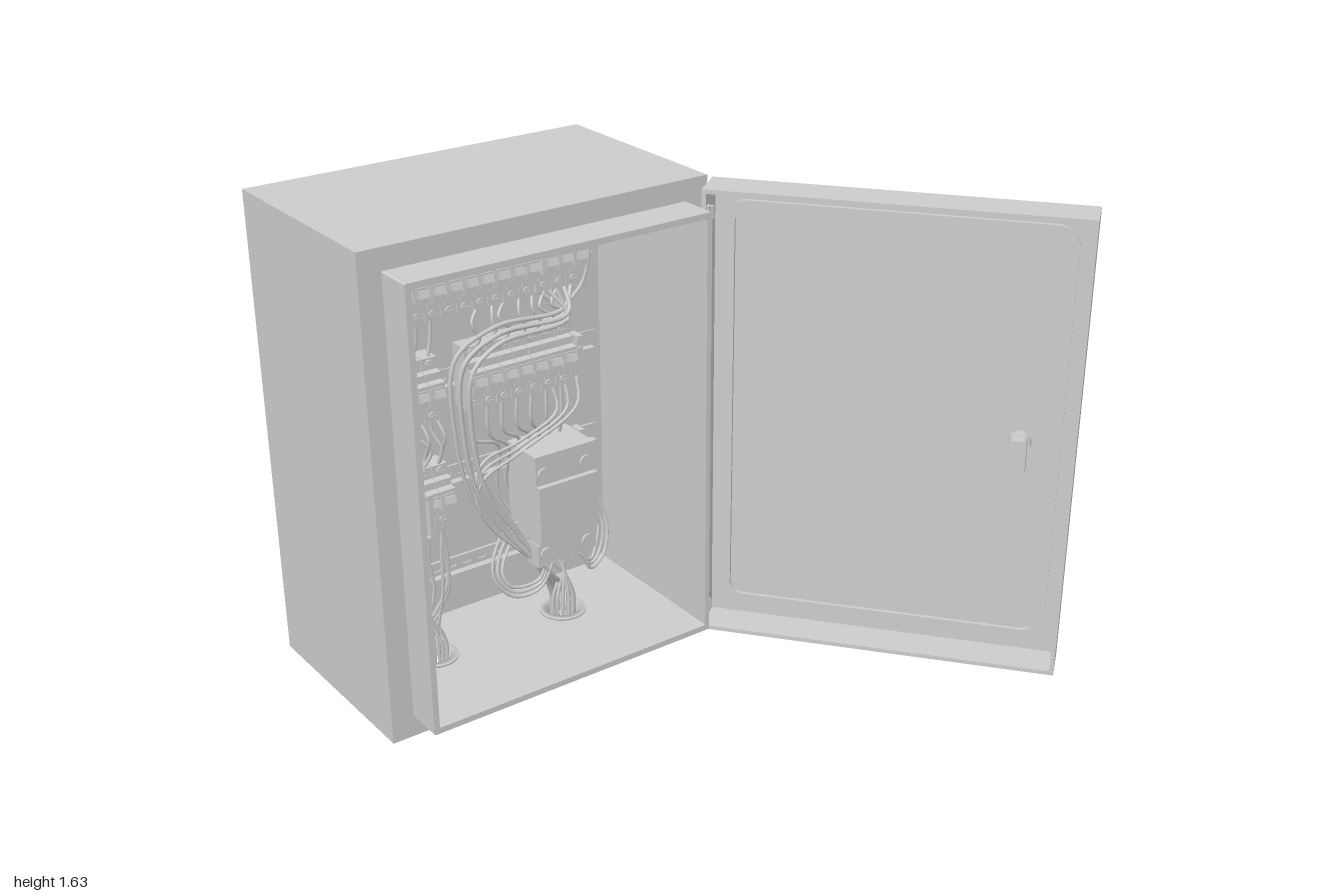
import * as THREE from 'three';

const metal = new THREE.MeshStandardMaterial({ color: 0xcccccc, side: THREE.DoubleSide });

function add(parent, name, geo, x = 0, y = 0, z = 0) {
  const m = new THREE.Mesh(geo, metal);
  m.name = name;
  m.position.set(x, y, z);
  parent.add(m);
  return m;
}

// Box given by its limits on each axis
function slab(parent, name, x0, x1, y0, y1, z0, z1) {
  return add(parent, name, new THREE.BoxGeometry(x1 - x0, y1 - y0, z1 - z0),
    (x0 + x1) / 2, (y0 + y1) / 2, (z0 + z1) / 2);
}

// Disc facing +z
function disc(parent, name, r, depth, x, y, z, sides = 16) {
  return add(parent, name, new THREE.CylinderGeometry(r, r, depth, sides).rotateX(Math.PI / 2), x, y, z);
}

function rounded(path, x0, x1, y0, y1, r) {
  path.moveTo(x0 + r, y0);
  path.lineTo(x1 - r, y0);
  path.absarc(x1 - r, y0 + r, r, -Math.PI / 2, 0);
  path.absarc(x1 - r, y1 - r, r, 0, Math.PI / 2);
  path.absarc(x0 + r, y1 - r, r, Math.PI / 2, Math.PI);
  path.absarc(x0 + r, y0 + r, r, Math.PI, Math.PI * 1.5);
  return path;
}

function extrude(shape, depth) {
  return new THREE.ExtrudeGeometry(shape, { depth, bevelEnabled: false, curveSegments: 8 });
}

// Rectangular ring: outer limits, inner limits, corner radii
function ring(o, i, ro, ri, depth) {
  const s = rounded(new THREE.Shape(), ...o, ro);
  s.holes.push(rounded(new THREE.Path(), ...i, ri));
  return extrude(s, depth);
}

const PLATE = -0.56, GLAND_Z = -0.48, GLANDS = [-0.65, -0.14];

function buildCabinet(root) {
  const g = new THREE.Group();
  g.name = 'cabinet';
  root.add(g);
  slab(g, 'leftWall', 0.195, 0.21, 0.04, 1.64, -0.85, -0.13);
  slab(g, 'rightWall', -1, -0.985, 0.04, 1.64, -0.85, -0.13);
  slab(g, 'roof', -1, 0.21, 1.625, 1.64, -0.85, -0.13);
  slab(g, 'backWall', -1, 0.21, 0.04, 1.64, -0.85, -0.835);
  // Floor with two cable holes
  const floor = new THREE.Shape([[-1, 0.13], [0.21, 0.13], [0.21, 0.85], [-1, 0.85]].map(p => new THREE.Vector2(...p)));
  for (const x of GLANDS) floor.holes.push(new THREE.Path().absarc(x, -GLAND_Z, 0.07, 0, Math.PI * 2));
  add(g, 'floor', extrude(floor, 0.015).rotateX(-Math.PI / 2), 0, 0.04, 0);
  for (const x of GLANDS) {
    const pts = [[0.058, 0.018], [0.07, 0.018], [0.08, 0.026], [0.08, 0.04], [0.07, 0.045], [0.08, 0.056], [0.08, 0.064], [0.058, 0.064], [0.058, 0.018]];
    add(g, 'cableGrommet', new THREE.LatheGeometry(pts.map(p => new THREE.Vector2(...p)), 24), x, 0, GLAND_Z);
  }
  // Front frame and projecting collar round the opening
  const hole = [-0.905, 0.112, 0.13, 1.55];
  add(g, 'frontFrame', ring([-1, 0.21, 0.04, 1.64], hole, 0.001, 0.005, 0.015), 0, 0, -0.145);
  add(g, 'openingCollar', ring([-0.925, 0.13, 0.11, 1.57], hole, 0.005, 0.005, 0.13), 0, 0, -0.13);
  add(g, 'mountingPlate', extrude(rounded(new THREE.Shape(), -0.88, 0.09, 0.15, 1.53, 0.06), 0.015), 0, 0, PLATE - 0.015);
  // Latch keeper on the collar
  for (const y of [0.755, 0.89]) slab(g, 'keeperArm', -0.905, -0.86, y - 0.007, y + 0.007, -0.065, -0.035);
  slab(g, 'keeperBar', -0.874, -0.86, 0.748, 0.897, -0.065, -0.035);
  // Hinges
  for (const y of [0.145, 1.535]) {
    slab(g, 'hingeLeaf', 0.12, 0.2, y - 0.02, y + 0.02, -0.092, -0.08);
    add(g, 'hingePin', new THREE.CylinderGeometry(0.012, 0.012, 0.06, 12), 0.175, y - 0.005, -0.086);
  }
}

function buildDoor(root) {
  // Local x runs from hinge to free edge, local z points to the inside
  const g = new THREE.Group();
  g.name = 'door';
  g.position.set(0.26, 0, -0.17);
  g.rotation.y = -0.899;
  root.add(g);
  slab(g, 'doorPanel', 0, 1.19, 0.065, 1.615, 0, 0.012);
  add(g, 'doorRim', ring([0, 1.19, 0.065, 1.615], [0.014, 1.176, 0.079, 1.601], 0.001, 0.001, 0.137));
  add(g, 'gasket', ring([0.05, 1.14, 0.125, 1.555], [0.08, 1.11, 0.155, 1.525], 0.07, 0.045, 0.014), 0, 0, 0.012);
  const dome = [[0, -0.024], [0.026, -0.022], [0.038, -0.014], [0.041, 0]];
  add(g, 'knob', new THREE.LatheGeometry(dome.map(p => new THREE.Vector2(...p)), 16).rotateX(Math.PI / 2), 1.01, 0.83, 0);
  disc(g, 'latchShaft', 0.038, 0.045, 1.01, 0.83, 0.03);
  add(g, 'latchCam', extrude(rounded(new THREE.Shape(), 0.982, 1.038, 0.73, 0.865, 0.02), 0.04), 0, 0, 0.05);
}

// Slotted hat rail with end clamps
function buildRail(root, y) {
  const g = new THREE.Group();
  g.name = 'mountingRail';
  g.position.set(0, y, PLATE);
  root.add(g);
  const web = rounded(new THREE.Shape(), -0.85, 0.05, -0.026, 0.026, 0.001);
  for (let x = -0.835; x < 0.01; x += 0.058) web.holes.push(rounded(new THREE.Path(), x, x + 0.036, -0.008, 0.008, 0.007));
  add(g, 'railWeb', extrude(web, 0.005));
  for (const s of [-1, 1]) {
    slab(g, 'railSide', -0.85, 0.05, s * 0.026 - 0.003, s * 0.026 + 0.003, 0, 0.03);
    slab(g, 'railFlange', -0.85, 0.05, s * 0.033 - 0.008, s * 0.033 + 0.008, 0.025, 0.03);
  }
  for (const x of [-0.765, -0.025]) {
    slab(g, 'endClamp', x - 0.011, x + 0.011, -0.042, 0.042, 0.005, 0.055);
    disc(g, 'clampScrew', 0.008, 0.006, x, 0, 0.057, 10);
  }
}

// Row of breaker poles; profile points are (depth, height)
function buildBreaker(root, x0, x1, poles, y) {
  const g = new THREE.Group();
  g.name = 'breaker';
  g.position.set(0, y, PLATE + 0.025);
  root.add(g);
  const half = [[0, 0.108], [0.07, 0.108], [0.07, 0.068], [0.092, 0.064], [0.092, 0.04], [0.115, 0.036]];
  const pts = [...half, ...half.map(([d, h]) => [d, -h]).reverse()].map(p => new THREE.Vector2(...p));
  const pitch = (x1 - x0) / poles, w = pitch - 0.003;
  const body = extrude(new THREE.Shape(pts), w).rotateY(-Math.PI / 2).translate(w / 2, 0, 0);
  for (let i = 0; i < poles; i++) {
    const x = x0 + pitch * (i + 0.5);
    add(g, 'poleBody', body, x, 0, 0);
    for (const s of [-1, 1]) {
      disc(g, 'terminalScrew', 0.014, 0.01, x, s * 0.088, 0.071, 12);
      slab(g, 'terminalSlot', x - 0.011, x + 0.011, s * 0.088 - 0.002, s * 0.088 + 0.002, 0.074, 0.079);
    }
    slab(g, 'toggleSurround', x - 0.022, x + 0.022, -0.026, 0.024, 0.11, 0.119);
    slab(g, 'toggle', x - 0.017, x + 0.017, -0.006, 0.018, 0.115, 0.138).rotation.x = -0.3;
  }
}

function buildPowerUnit(root) {
  const g = new THREE.Group();
  g.name = 'powerUnit';
  root.add(g);
  slab(g, 'unitBase', -0.3, -0.07, 0.33, 0.725, PLATE + 0.02, -0.43);
  slab(g, 'unitBody', -0.3, -0.07, 0.42, 0.62, -0.43, -0.35);
  slab(g, 'upperBlock', -0.3, -0.07, 0.62, 0.725, -0.43, -0.37);
  slab(g, 'lowerBlock', -0.3, -0.07, 0.33, 0.4, -0.43, -0.37);
  slab(g, 'ventStrip', -0.295, -0.075, 0.4, 0.42, -0.43, -0.36);
  for (const x of [-0.27, -0.105]) for (const y of [0.66, 0.365]) disc(g, 'unitScrew', 0.024, 0.012, x, y, -0.368);
  for (let i = 0; i < 8; i++) slab(g, 'unitTerminal', -0.295 + i * 0.028, -0.275 + i * 0.028, 0.312, 0.33, -0.45, -0.38);
}

function buildWires(root) {
  const g = new THREE.Group();
  g.name = 'wiring';
  root.add(g);
  let seed = 7;
  const jitter = a => { seed = (seed * 16807) % 2147483647; return (seed / 2147483647 - 0.5) * 2 * a; };
  const wire = (pts, r = 0.006) => {
    const path = new THREE.CatmullRomCurve3(pts.map(([x, y, z = -0.48]) => new THREE.Vector3(x, y, z)), false, 'centripetal');
    add(g, 'wire', new THREE.TubeGeometry(path, pts.length * 7, r, 6));
  };
  // Ends fanned out inside a grommet
  const exit = (i, n, x) => {
    const a = i / n * Math.PI * 2, c = x + Math.cos(a) * 0.038, z = GLAND_Z + Math.sin(a) * 0.038;
    return [[c, 0.12, z], [c, 0.04, z], [c, 0.007 + Math.abs(jitter(0.006)), z]];
  };
  // Left column: rows one to three, then down to the first grommet
  for (let i = 0; i < 3; i++) {
    const a = -0.705 + i * 0.057, b = -0.725 + i * 0.057, c = -0.712 + i * 0.057;
    wire([[a, 1.25], [a + jitter(0.006), 1.19], [b, 1.1]]);
    wire([[b, 0.92], [b, 0.87], [b + 0.02 + jitter(0.03), 0.81, -0.46], [c, 0.74]]);
    wire([[b + 0.015, 0.92], [b + 0.03, 0.85, -0.45], [c + 0.015, 0.78], [c + 0.01, 0.74]]);
    for (let k = 0; k < 3; k++) wire([[c + k * 0.012 - 0.012, 0.55], [c + jitter(0.015), 0.45], [c + jitter(0.02), 0.3], ...exit(i * 3 + k, 9, GLANDS[0])]);
  }
  // Right column: row one to row two, then down behind the power unit
  for (let i = 0; i < 7; i++) {
    const a = -0.42 + i * 0.05, b = -0.462 + i * 0.0565;
    wire([[a, 1.25], [a - 0.03 + jitter(0.02), 1.2, -0.46], [b + 0.03, 1.15 + jitter(0.01), -0.46], [b, 1.1]]);
    const t = -0.36 + i * 0.04;
    wire([[b, 0.92], [b + jitter(0.008), 0.8], [t, 0.74 - jitter(0.02), -0.5], [t * 0.8 - 0.05, 0.55, -0.545], [-0.2 + i * 0.015, 0.3], ...exit(i, 12, GLANDS[1])]);
  }
  // Sweeping bundle across to the left and down to the second grommet
  for (let i = 0; i < 5; i++) {
    const o = i * 0.016, z = -0.45 + (i % 2) * 0.025;
    wire([[-0.07 - o * 2, 1.25], [-0.12, 1.18 - o * 0.5, z], [-0.38, 1.175 - o, z], [-0.53 + o, 1.1 - o, z], [-0.545 + o, 0.85, z],
      [-0.5 + o, 0.62, z], [-0.4 + o, 0.45, z], [-0.27 + o, 0.3 - o, z], ...exit(7 + i, 12, GLANDS[1])], 0.0075);
  }
  // Cross links between the columns
  for (let i = 0; i < 3; i++) {
    wire([[-0.16 + i * 0.05, 0.92], [-0.16 + i * 0.04, 0.83, -0.45], [-0.3, 0.76 - i * 0.02, -0.45], [-0.46, 0.72 - i * 0.03, -0.44], [-0.48, 0.58, -0.44], [-0.36, 0.4, -0.44], [-0.25 + i * 0.03, 0.31, -0.42]]);
  }
  // Slack loops beside and below the power unit
  for (let i = 0; i < 3; i++) {
    const o = i * 0.018;
    wire([[-0.1 - o, 0.32, -0.42], [-0.06, 0.22 + o, -0.42], [0.01 - o, 0.25 + o, -0.44], [0.035 - o, 0.36, -0.46], [0 - o, 0.45 - o, -0.48], [-0.08, 0.45 - o, -0.5]]);
    wire([[-0.2 - o, 0.32, -0.42], [-0.27, 0.21 + o, -0.42], [-0.37, 0.21 + o, -0.43], [-0.43 + o, 0.3, -0.45], [-0.38 + o, 0.41 - o, -0.48], [-0.29, 0.44 - o, -0.5]]);
  }
  // Feeds over the top row
  for (let i = 0; i < 5; i++) {
    const x = -0.705 + i * 0.057;
    wire([[x, 1.44], [x + jitter(0.01), 1.475], [x - 0.01, 1.51]]);
  }
  wire([[-0.755, 1.27, -0.44], [-0.775, 1.33, -0.44], [-0.76, 1.42, -0.44], [-0.68, 1.47, -0.44], [-0.53, 1.49, -0.45], [-0.48, 1.44]]);
  wire([[-0.31, 1.44], [-0.28, 1.48], [-0.18, 1.47, -0.45], [-0.06, 1.48, -0.45], [-0.02, 1.38, -0.45], [-0.04, 1.25, -0.46], [-0.1, 1.19, -0.46]]);
  wire([[-0.25, 1.44], [-0.22, 1.49], [-0.12, 1.485], [-0.07, 1.44]]);
}

export function createModel() {
  const root = new THREE.Group();
  root.name = 'electricalCabinet';
  buildCabinet(root);
  buildDoor(root);
  for (const y of [1.335, 1.0, 0.66, 0.325]) buildRail(root, y);
  buildBreaker(root, -0.735, -0.505, 4, 1.35);
  buildBreaker(root, -0.505, -0.45, 1, 1.35);
  buildBreaker(root, -0.45, -0.222, 4, 1.35);
  buildBreaker(root, -0.215, -0.045, 3, 1.355);
  buildBreaker(root, -0.755, -0.585, 3, 1.015);
  buildBreaker(root, -0.49, -0.265, 4, 1.015);
  buildBreaker(root, -0.265, -0.095, 3, 1.015);
  buildBreaker(root, -0.74, -0.57, 3, 0.645);
  buildPowerUnit(root);
  buildWires(root);
  return root;
}
